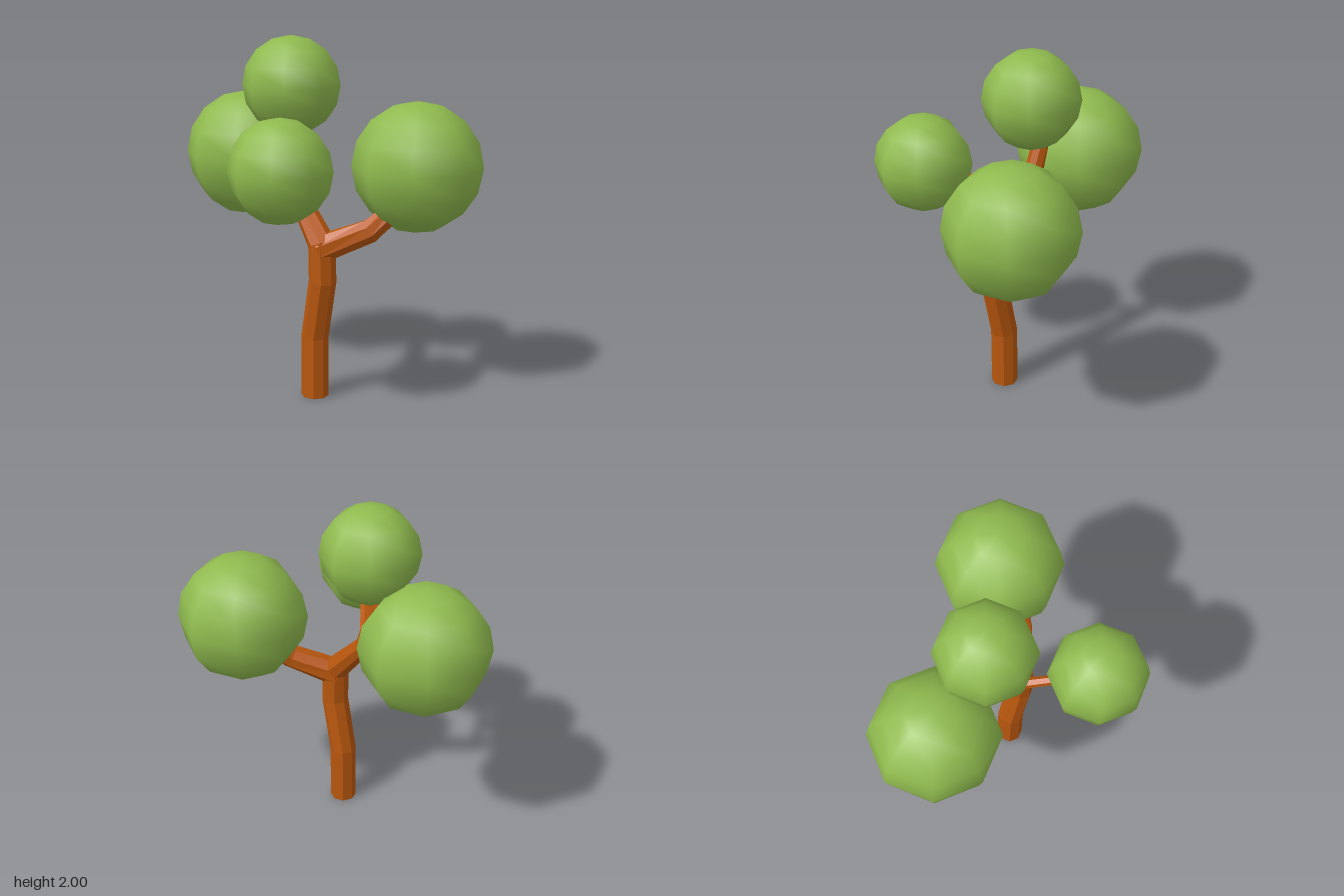
import * as THREE from 'three';

const bark = new THREE.MeshStandardMaterial({ color: 0xb9570e });
bark.name = 'bark';
const foliage = new THREE.MeshStandardMaterial({ color: 0x8fba4e });
foliage.name = 'foliage';

// Faceted, capped limb through stations [x, y, z, radius], with mitred bends
function limb(name, stations, sides) {
  const centers = stations.map(([x, y, z]) => new THREE.Vector3(x, y, z));
  const last = centers.length - 1;
  const step = (i) => centers[i + 1].clone().sub(centers[i]).normalize();
  const pos = [];
  const index = [];
  centers.forEach((c, i) => {
    const n = new THREE.Vector3();
    if (i > 0) n.add(step(i - 1));
    if (i < last) n.add(step(i));
    n.normalize();
    const u = new THREE.Vector3(0, 0, 1).addScaledVector(n, -n.z).normalize();
    const v = n.clone().cross(u);
    for (let j = 0; j < sides; j++) {
      const a = (j / sides) * Math.PI * 2;
      const p = c.clone()
        .addScaledVector(u, Math.cos(a) * stations[i][3])
        .addScaledVector(v, Math.sin(a) * stations[i][3]);
      pos.push(p.x, p.y, p.z);
    }
  });
  for (let i = 0; i < last; i++) {
    for (let j = 0; j < sides; j++) {
      const k = (j + 1) % sides;
      const a = i * sides + j, b = i * sides + k;
      index.push(a, b, a + sides, b, b + sides, a + sides);
    }
  }
  // End caps
  for (let j = 1; j < sides - 1; j++) {
    const t = last * sides;
    index.push(0, j + 1, j, t, t + j, t + j + 1);
  }
  const indexed = new THREE.BufferGeometry();
  indexed.setAttribute('position', new THREE.Float32BufferAttribute(pos, 3));
  indexed.setIndex(index);
  const geometry = indexed.toNonIndexed();
  geometry.computeVertexNormals();
  const mesh = new THREE.Mesh(geometry, bark);
  mesh.name = name;
  return mesh;
}

// Smooth-shaded eight-sided ball of leaves
function leafBall(name, x, y, z, radius) {
  const mesh = new THREE.Mesh(new THREE.SphereGeometry(radius, 8, 8), foliage);
  mesh.name = name;
  mesh.position.set(x, y, z);
  return mesh;
}

export function createModel() {
  const tree = new THREE.Group();
  tree.name = 'tree';

  // Trunk, bending over to the upper branch
  tree.add(limb('trunk', [
    [0.138, 0, 0.06, 0.076],
    [0.138, 0.35, 0.06, 0.076],
    [0.204, 0.68, 0.06, 0.076],
    [0.198, 0.89, 0.06, 0.078],
    [-0.04, 1.15, 0.06, 0.053],
    [-0.145, 1.44, 0.06, 0.05],
    [-0.11, 1.6, 0.06, 0.045],
  ], 8));

  // Side branches
  tree.add(limb('backBranch', [
    [0.19, 0.86, 0.07, 0.08],
    [0.385, 0.97, -0.12, 0.068],
    [0.47, 1.1, -0.25, 0.055],
  ], 8));
  tree.add(limb('frontBranch', [
    [-0.04, 1.13, 0.06, 0.036],
    [0.045, 1.2, 0.145, 0.03],
    [0.3, 1.33, 0.4, 0.026],
  ], 6));

  // Foliage
  tree.add(leafBall('rightFoliage', -0.472, 1.31, 0.08, 0.358));
  tree.add(leafBall('backFoliage', 0.468, 1.303, -0.38, 0.358));
  tree.add(leafBall('topFoliage', -0.078, 1.728, 0.06, 0.272));
  tree.add(leafBall('frontFoliage', 0.363, 1.36, 0.46, 0.272));

  return tree;
}
